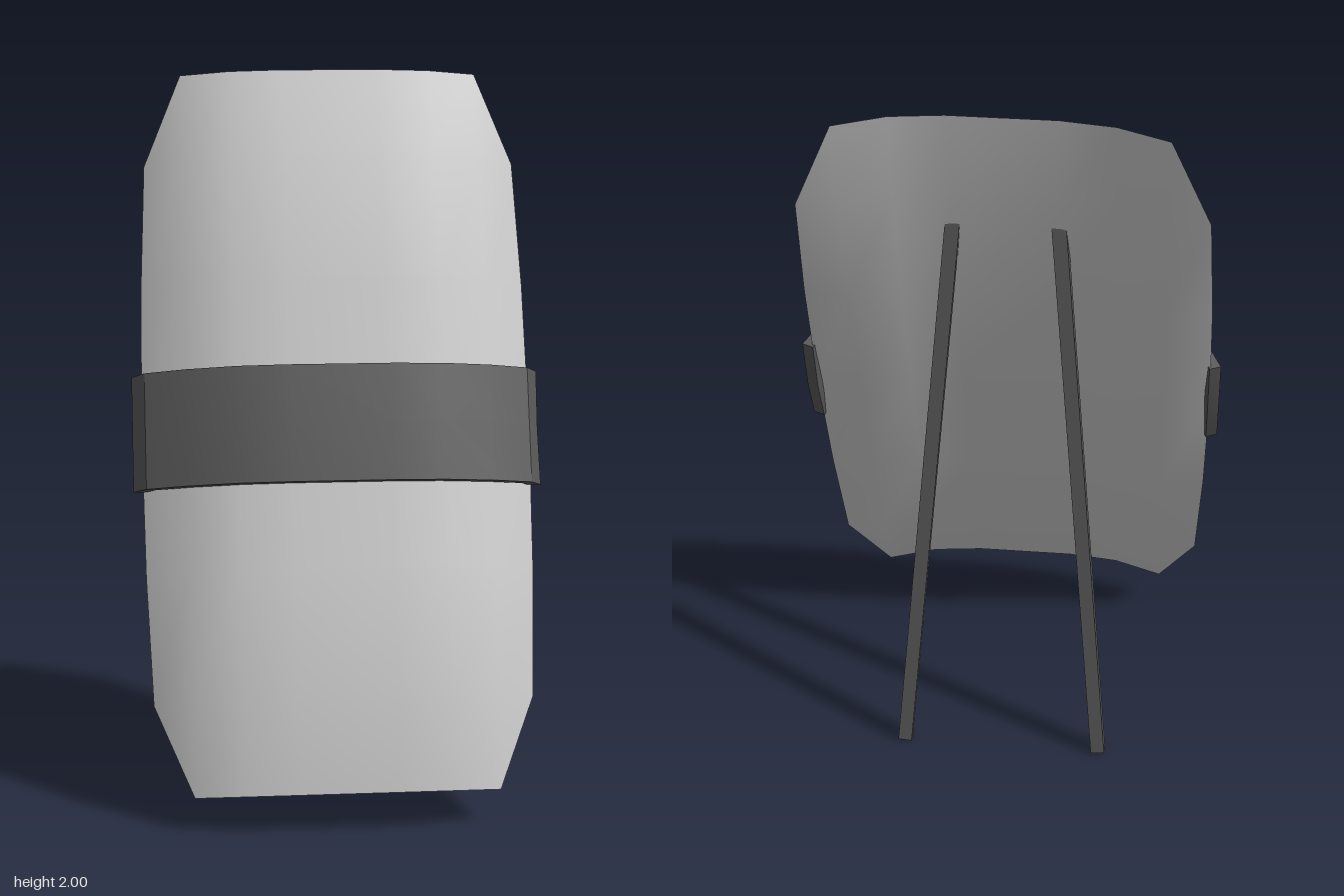
import * as THREE from 'three';
import { toCreasedNormals } from 'three/addons/utils/BufferGeometryUtils.js';

const light = new THREE.MeshStandardMaterial({ color: 0xcccccc });
const dark = new THREE.MeshStandardMaterial({ color: 0x595959 });

function addMesh(parent, name, geometry, material) {
  const mesh = new THREE.Mesh(geometry, material);
  mesh.name = name;
  parent.add(mesh);
  return mesh;
}

// Mirrors a half profile of [x, z] points into a full one, from -x to +x
const mirrorProfile = (half) => [...half.map(([x, z]) => [-x, z]).reverse(), ...half];

// Curved panel with clipped corners, thick inside and tapering to a sharp rim:
// closed cross-sections stacked along its length
function panelGeometry() {
  const rows = [-1, -0.75, -0.4, 0, 0.4, 0.75, 1];
  const positions = [], index = [];
  for (const v of rows) {
    const end = Math.abs(v) === 1;
    const belly = end ? 0 : 1 - (v / 0.75) ** 2;
    const thickness = end ? 0 : 0.08 + 0.037 * belly;
    const crown = end ? 0.4 : 0.444 + 0.004 * belly;
    const edge = end ? [0.415, 0.052] : [0.52 + 0.02 * belly, 0.141];
    const front = mirrorProfile([[0.14, 0], [0.28, 0.013], [0.415, 0.052], edge]);
    const back = front.slice(1, -1).reverse();
    const y = 0.977 + v * 1.002;
    front.forEach(([x, d]) => positions.push(x, y, crown - d));
    back.forEach(([x, d]) => positions.push(x, y, crown - d - thickness));
  }
  const n = 14;
  for (let r = 0; r < rows.length - 1; r++) {
    for (let i = 0; i < n; i++) {
      const a = r * n + i, b = r * n + (i + 1) % n;
      index.push(a, b, b + n, a, b + n, a + n);
    }
  }
  const geo = new THREE.BufferGeometry();
  geo.setAttribute('position', new THREE.Float32BufferAttribute(positions, 3));
  geo.setIndex(index);
  return toCreasedNormals(geo, 0.8);
}

// Band wrapped around the front of the panel, its ends reaching further back at mid height
function bandGeometry() {
  const outer = mirrorProfile([[0.14, 0.483], [0.28, 0.47], [0.42, 0.428], [0.53, 0.372], [0.565, 0.308]]);
  const inner = mirrorProfile([[0.135, 0.451], [0.27, 0.438], [0.405, 0.398], [0.505, 0.35], [0.535, 0.298]]);
  const outline = [...outer, ...inner.reverse()].map(([x, z]) => new THREE.Vector2(x, -z));
  const geo = new THREE.ExtrudeGeometry(new THREE.Shape(outline), { depth: 0.32, steps: 2, bevelEnabled: false });
  geo.rotateX(-Math.PI / 2);
  const p = geo.attributes.position;
  for (let i = 0; i < p.count; i++) {
    const middle = Math.abs(p.getY(i) - 0.16) < 0.01;
    if (middle && Math.abs(p.getX(i)) > 0.532) p.setZ(i, p.getZ(i) - 0.015);
  }
  geo.translate(0, 0.811, 0);
  return toCreasedNormals(geo, 0.5);
}

export function createModel() {
  const model = new THREE.Group();
  model.name = 'leaningPanel';

  // Panel and band lean back together
  const leaning = new THREE.Group();
  leaning.name = 'leaningFace';
  leaning.rotation.x = -THREE.MathUtils.degToRad(19.8);
  model.add(leaning);
  addMesh(leaning, 'panel', panelGeometry(), light);
  addMesh(leaning, 'band', bandGeometry(), dark);

  // Two splayed rear legs, their tops sunk into the back of the panel
  for (const [side, name] of [[1, 'leftLeg'], [-1, 'rightLeg']]) {
    const foot = new THREE.Vector3(0.277 * side, 0.004, -0.357);
    const top = new THREE.Vector3(0.132 * side, 1.69, -0.189);
    const axis = top.clone().sub(foot);
    const leg = addMesh(model, name, new THREE.BoxGeometry(0.038, axis.length(), 0.038), dark);
    leg.position.copy(foot).add(top).multiplyScalar(0.5);
    leg.quaternion.setFromUnitVectors(new THREE.Vector3(0, 1, 0), axis.normalize());
  }
  return model;
}
